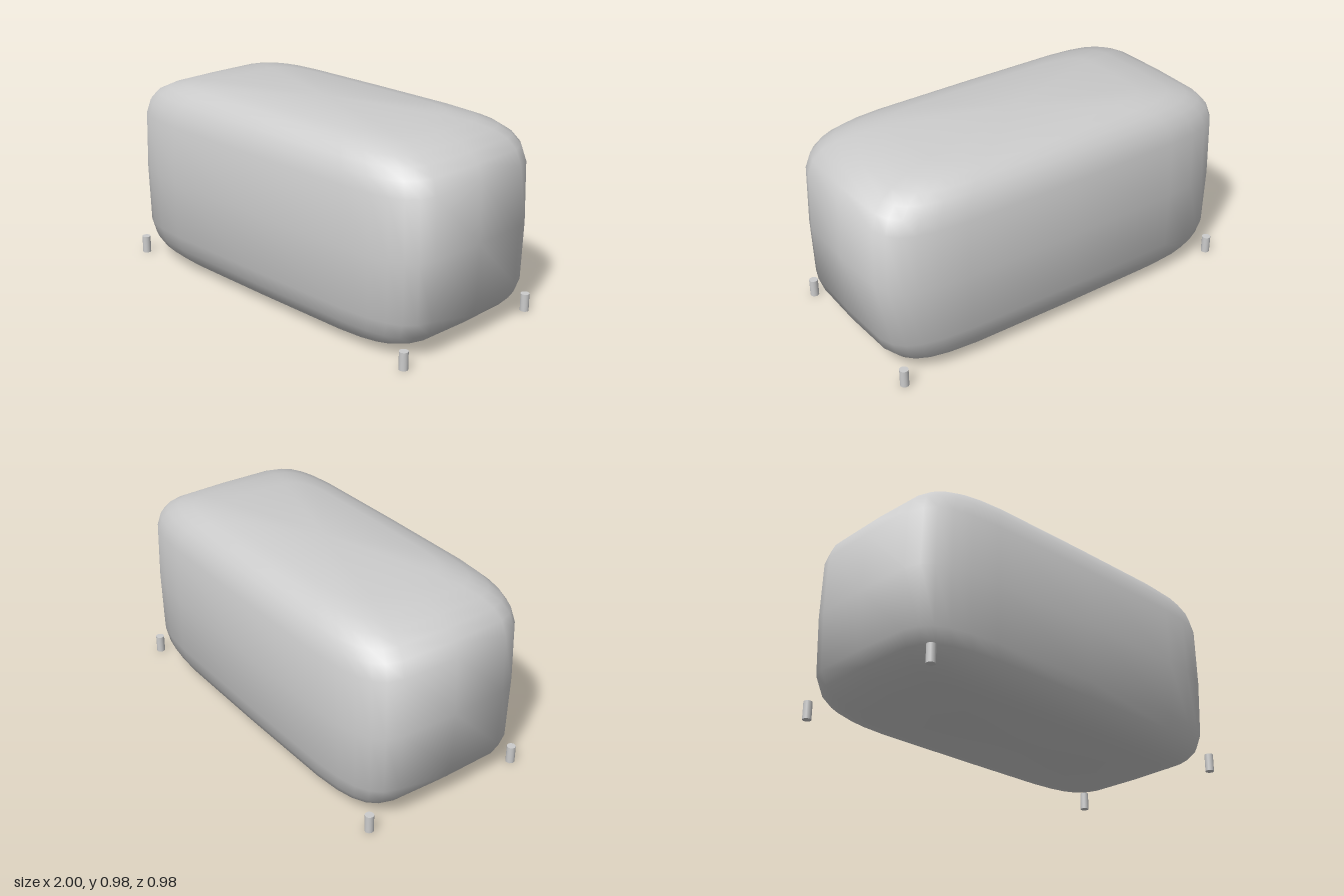
import * as THREE from 'three';

// Sphere squared off into a rounded block: |x|^6 + |y|^6 + |z|^6 = 1, then stretched
function roundedBlock(halfX, halfY, halfZ) {
  const geometry = new THREE.SphereGeometry(1, 28, 14);
  const position = geometry.attributes.position;
  // Values that should be zero are snapped so the cube root does not enlarge rounding errors
  const square = (v) => (Math.abs(v) < 1e-6 ? 0 : Math.cbrt(v));
  for (let i = 0; i < position.count; i++) {
    position.setXYZ(i, square(position.getX(i)), square(position.getY(i)), square(position.getZ(i)));
  }
  // The sphere's own normals are kept, for soft pillow-like shading
  geometry.scale(halfX, halfY, halfZ);
  return geometry;
}

export function createModel() {
  const model = new THREE.Group();
  model.name = 'roundedBlockOnPegs';
  const grey = new THREE.MeshStandardMaterial({ color: 0xcccccc });

  // Body
  const body = new THREE.Mesh(roundedBlock(1, 0.49, 0.49), grey);
  body.name = 'body';
  body.position.y = 0.492;
  model.add(body);

  // Four short round feet, standing at the corners
  const footHeight = 0.09;
  const footGeometry = new THREE.CylinderGeometry(0.022, 0.022, footHeight, 16);
  for (const [sx, side] of [[1, 'Left'], [-1, 'Right']]) {
    for (const [sz, end] of [[1, 'front'], [-1, 'back']]) {
      const foot = new THREE.Mesh(footGeometry, grey);
      foot.name = `${end}${side}Foot`;
      foot.position.set(sx * 0.945, footHeight / 2, sz * 0.437);
      model.add(foot);
    }
  }

  return model;
}
